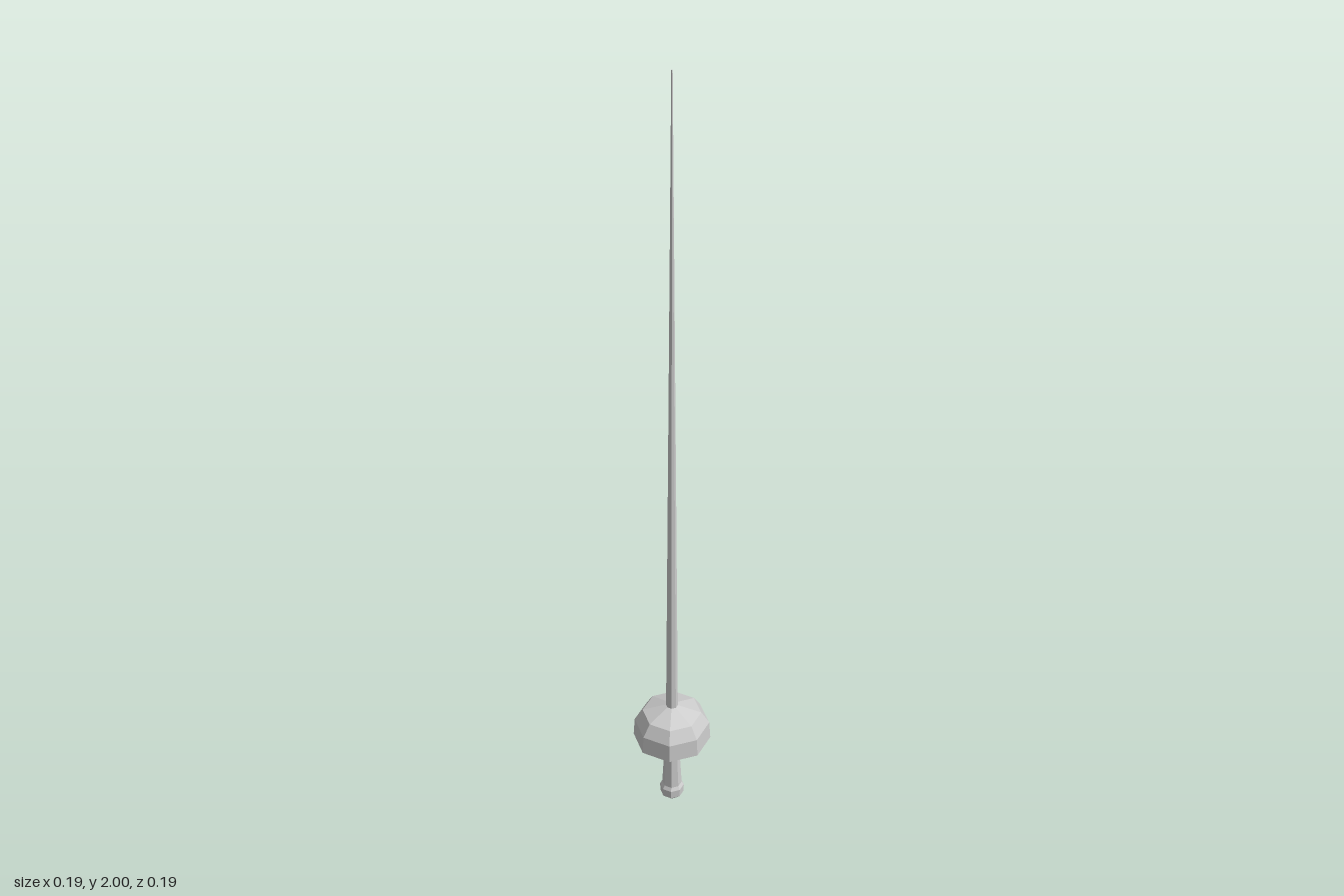
import * as THREE from 'three';

const material = new THREE.MeshStandardMaterial({ color: 0xcccccc, flatShading: true, side: THREE.DoubleSide });

// Eight-sided turned part from [radius, height] pairs
function turned(name, profile) {
  const points = profile.map(([r, y]) => new THREE.Vector2(r, y));
  const mesh = new THREE.Mesh(new THREE.LatheGeometry(points, 8), material);
  mesh.name = name;
  return mesh;
}

export function createModel() {
  const sword = new THREE.Group();
  sword.name = 'fencingSword';

  // Long tapering blade
  sword.add(turned('blade', [[0.0145, 0.3], [0.0015, 2], [0, 2]]));

  // Hollow bell guard: down the inside, round the rim, up the outside
  sword.add(turned('bellGuard', [
    [0, 0.305], [0.069, 0.28], [0.087, 0.252], [0.09, 0.207],
    [0.095, 0.207], [0.092, 0.256], [0.072, 0.288], [0, 0.314],
  ]));

  // Grip, flaring towards the pommel
  sword.add(turned('grip', [[0, 0.04], [0.025, 0.04], [0.016, 0.21], [0.015, 0.305]]));

  // Rounded pommel
  sword.add(turned('pommel', [[0, 0], [0.016, 0.003], [0.029, 0.017], [0.03, 0.04], [0.024, 0.05], [0, 0.05]]));

  return sword;
}
